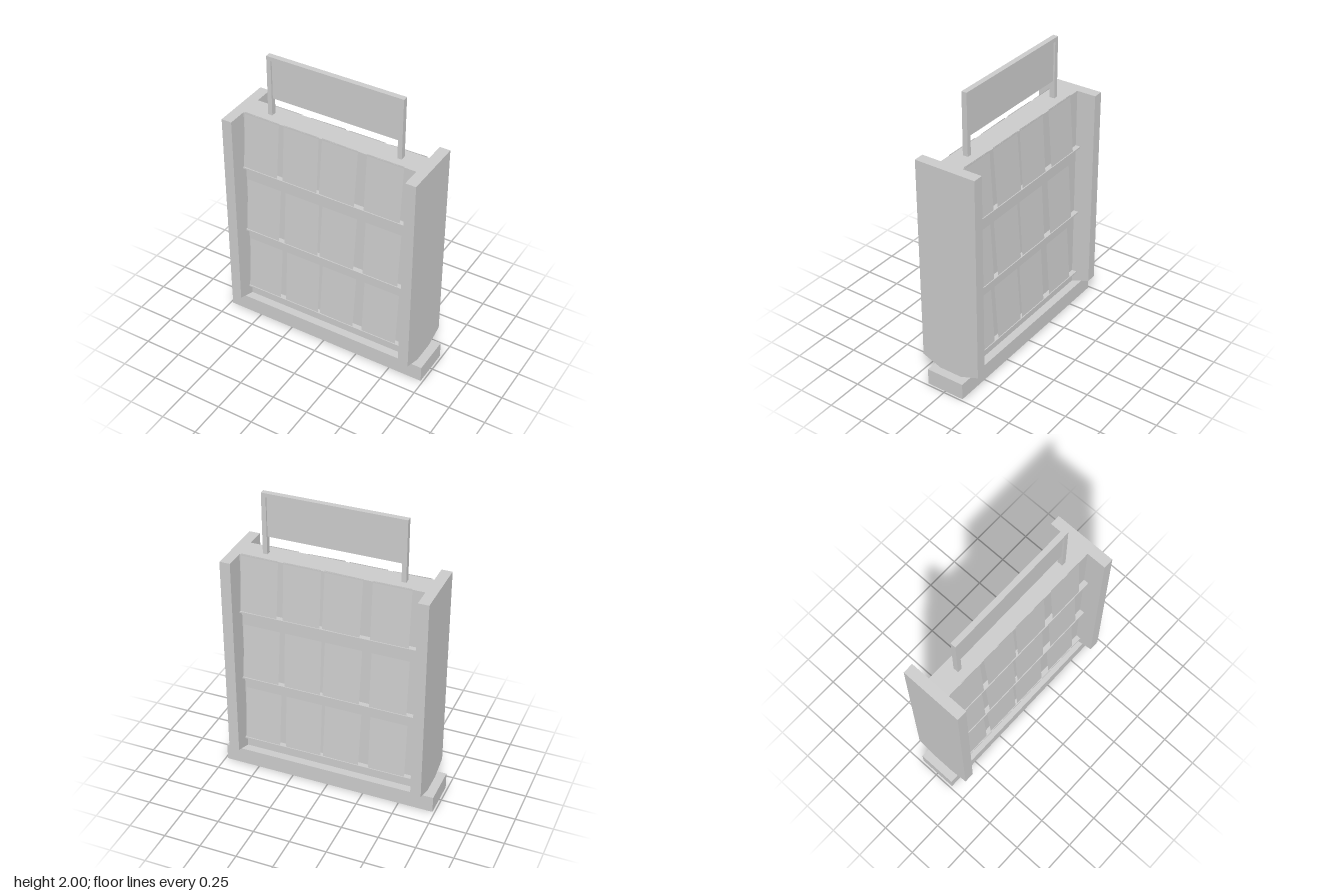
import * as THREE from 'three';

const mat = new THREE.MeshStandardMaterial({ color: 0xcccccc, flatShading: true });
const thin = new THREE.MeshStandardMaterial({ color: 0xcccccc, flatShading: true, side: THREE.DoubleSide });

// box given by its minimum and maximum corners
function box(name, [x0, y0, z0], [x1, y1, z1], parent) {
  const mesh = new THREE.Mesh(new THREE.BoxGeometry(x1 - x0, y1 - y0, z1 - z0), mat);
  mesh.position.set((x0 + x1) / 2, (y0 + y1) / 2, (z0 + z1) / 2);
  mesh.name = name;
  parent.add(mesh);
  return mesh;
}

const CORE_X = 0.605, CORE_Z = 0.08, TOP = 1.585, BASE_Y = 0.115;

// thin shelf lip with a row of cards leaning back against the core
function createTier(y) {
  const tier = new THREE.Group();
  tier.name = 'tier';
  box('ledge', [-CORE_X, y - 0.01, CORE_Z], [CORE_X, y, 0.115], tier);
  const height = 0.4, rise = 0.03;
  // centre x and sideways lean of each card
  for (const [x, roll] of [[-0.473, -0.016], [-0.185, 0], [0.085, -0.018], [0.4, 0]]) {
    const card = new THREE.Mesh(new THREE.PlaneGeometry(0.25, Math.hypot(height, rise)), thin);
    card.name = 'card';
    card.position.set(x, y + height / 2, CORE_Z + rise / 2 - 0.001);
    card.rotation.set(-Math.atan2(rise, height), 0, roll);
    tier.add(card);
  }
  return tier;
}

export function createModel() {
  const model = new THREE.Group();
  model.name = 'displayStand';

  // plinth, hollow and open underneath
  const plinth = new THREE.Group();
  plinth.name = 'plinth';
  const bx = 0.735, bz = 0.135;
  const walls = [
    [2 * bx, BASE_Y, 0, BASE_Y / 2, bz, 0, 0],
    [2 * bx, BASE_Y, 0, BASE_Y / 2, -bz, 0, Math.PI],
    [2 * bz, BASE_Y, bx, BASE_Y / 2, 0, 0, Math.PI / 2],
    [2 * bz, BASE_Y, -bx, BASE_Y / 2, 0, 0, -Math.PI / 2],
    [2 * bx, 2 * bz, 0, BASE_Y, 0, -Math.PI / 2, 0],
  ];
  for (const [w, h, x, y, z, rx, ry] of walls) {
    const wall = new THREE.Mesh(new THREE.PlaneGeometry(w, h), thin);
    wall.name = 'plinthWall';
    wall.position.set(x, y, z);
    wall.rotation.set(rx, ry, 0);
    plinth.add(wall);
  }
  model.add(plinth);

  // upright core between the side panels
  box('core', [-CORE_X, BASE_Y, -CORE_Z], [CORE_X, TOP, CORE_Z], model);

  // side panels, tapered at the foot
  const outline = new THREE.Shape([
    [-0.08, BASE_Y], [0.08, BASE_Y], [0.214, 0.165], [0.214, TOP], [-0.214, TOP], [-0.214, 0.165],
  ].map(([z, y]) => new THREE.Vector2(z, y)));
  for (const side of [1, -1]) {
    const panel = new THREE.Mesh(
      new THREE.ExtrudeGeometry(outline, { depth: 0.071, bevelEnabled: false }), mat);
    panel.name = side > 0 ? 'leftPanel' : 'rightPanel';
    panel.rotation.y = side * Math.PI / 2;
    panel.position.x = side * CORE_X;
    model.add(panel);
  }

  // the same three tiers on both faces, turned half way round for the back
  for (const face of ['front', 'back']) {
    const shelves = new THREE.Group();
    shelves.name = face + 'Shelves';
    for (const y of [0.205, 0.69, 1.19]) shelves.add(createTier(y));
    if (face === 'back') shelves.rotation.y = Math.PI;
    model.add(shelves);
  }

  // header sign: posts, top rail and inset board
  const sign = new THREE.Group();
  sign.name = 'headerSign';
  const sz = 0.018, x0 = -0.463, x1 = 0.475, post = 0.03;
  box('rightPost', [x0, TOP, -sz], [x0 + post, 2, sz], sign);
  box('leftPost', [x1 - post, TOP, -sz], [x1, 2, sz], sign);
  box('topRail', [x0 + post, 1.973, -sz], [x1 - post, 2, sz], sign);
  box('signBoard', [x0 + post, 1.703, -0.006], [x1 - post, 1.973, 0.006], sign);
  model.add(sign);

  return model;
}
